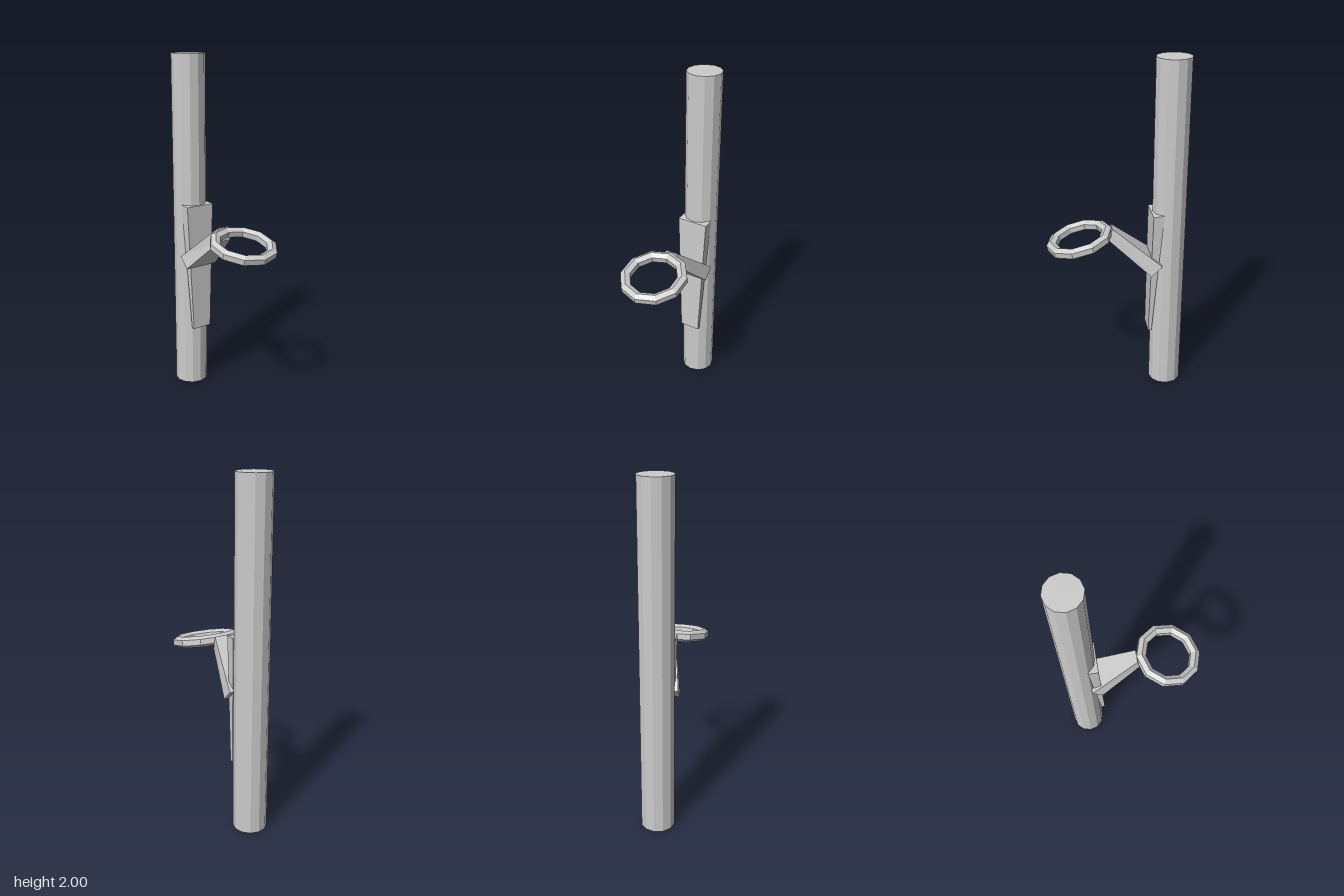
import * as THREE from 'three';

const material = new THREE.MeshStandardMaterial({ color: 0xcccccc, flatShading: true });

function part(name, geometry) {
  const flat = geometry.toNonIndexed();
  flat.computeVertexNormals();
  const mesh = new THREE.Mesh(flat, material);
  mesh.name = name;
  return mesh;
}

// Tapered block between two ends, each with a half width and [y, z] of its front and back edge
function taperedBlock(lower, upper) {
  const geometry = new THREE.BoxGeometry(2, 2, 2);
  const p = geometry.attributes.position;
  for (let i = 0; i < p.count; i++) {
    const end = p.getY(i) > 0 ? upper : lower;
    const [y, z] = p.getZ(i) > 0 ? end.front : end.back;
    p.setXYZ(i, p.getX(i) * end.halfWidth, y, z);
  }
  return geometry;
}

export function createModel() {
  const model = new THREE.Group();
  model.name = 'poleWithRingHolder';

  // Upright pole
  const pole = part('pole', new THREE.CylinderGeometry(0.0975, 0.0975, 2, 12));
  pole.position.set(0, 1, -0.303);
  model.add(pole);

  // Plate set into the front of the pole, narrowing downwards
  model.add(part('mountingPlate', taperedBlock(
    { halfWidth: 0.06, front: [0.375, -0.185], back: [0.375, -0.205] },
    { halfWidth: 0.09, front: [1.135, -0.197], back: [1.14, -0.257] },
  )));

  // Arm rising from the plate to the ring
  model.add(part('arm', taperedBlock(
    { halfWidth: 0.105, front: [0.767, -0.19], back: [0.83, -0.25] },
    { halfWidth: 0.037, front: [0.98, 0.045], back: [1.055, 0.028] },
  )));

  // Ten-sided ring with a hexagonal section, tilted forwards
  const section = [];
  for (let i = 0; i <= 6; i++) {
    const a = (i * 60 - 30) * Math.PI / 180;
    section.push(new THREE.Vector2(0.163 + 0.032 * Math.cos(a), 0.032 * Math.sin(a)));
  }
  const ring = part('ring', new THREE.LatheGeometry(section, 10));
  ring.position.set(0, 0.989, 0.21);
  ring.rotation.x = 14 * Math.PI / 180;
  model.add(ring);

  return model;
}
